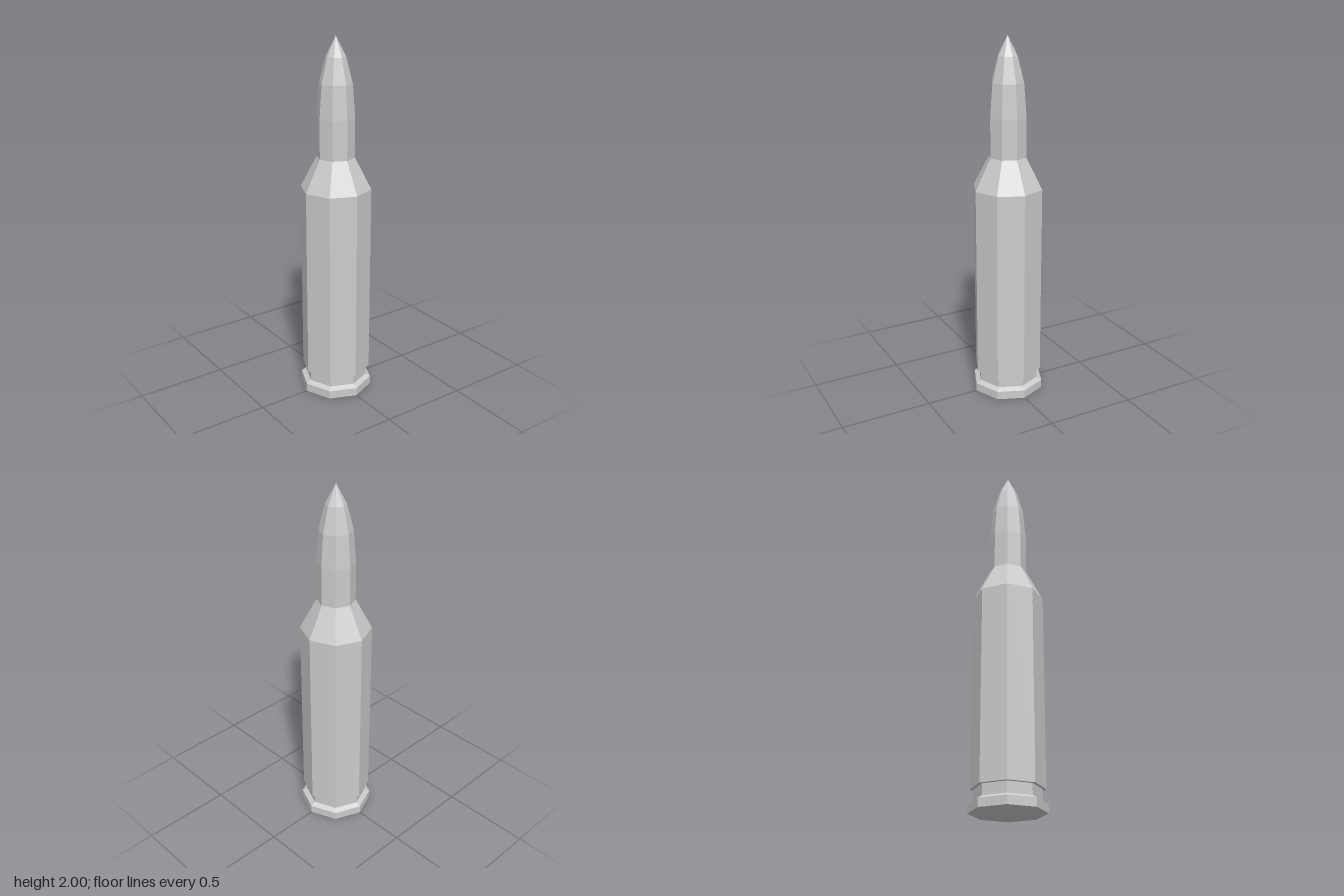
import * as THREE from 'three';

const SIDES = 8;

// Faceted solid of revolution from [radius, height] pairs, listed bottom to top
function turned(name, profile) {
  const points = profile.map(([r, y]) => new THREE.Vector2(r, y));
  const material = new THREE.MeshStandardMaterial({
    color: 0xcccccc, flatShading: true, side: THREE.DoubleSide,
  });
  const mesh = new THREE.Mesh(new THREE.LatheGeometry(points, SIDES), material);
  mesh.name = name;
  return mesh;
}

export function createModel() {
  const group = new THREE.Group();
  group.name = 'cartridge';

  // Flat base with a bevelled rim and the extractor groove above it
  group.add(turned('rimAndGroove', [
    [0, 0], [0.203, 0], [0.203, 0.047], [0.175, 0.062], [0.175, 0.122],
  ]));

  // Straight case wall with the sloping shoulder
  group.add(turned('caseBody', [
    [0.175, 0.122], [0.193, 0.122], [0.193, 1.193], [0.103, 1.365],
  ]));

  // Neck and pointed tip
  group.add(turned('bulletTip', [
    [0.103, 1.365], [0.103, 1.58], [0.089, 1.76], [0.054, 1.895], [0, 2],
  ]));

  return group;
}
